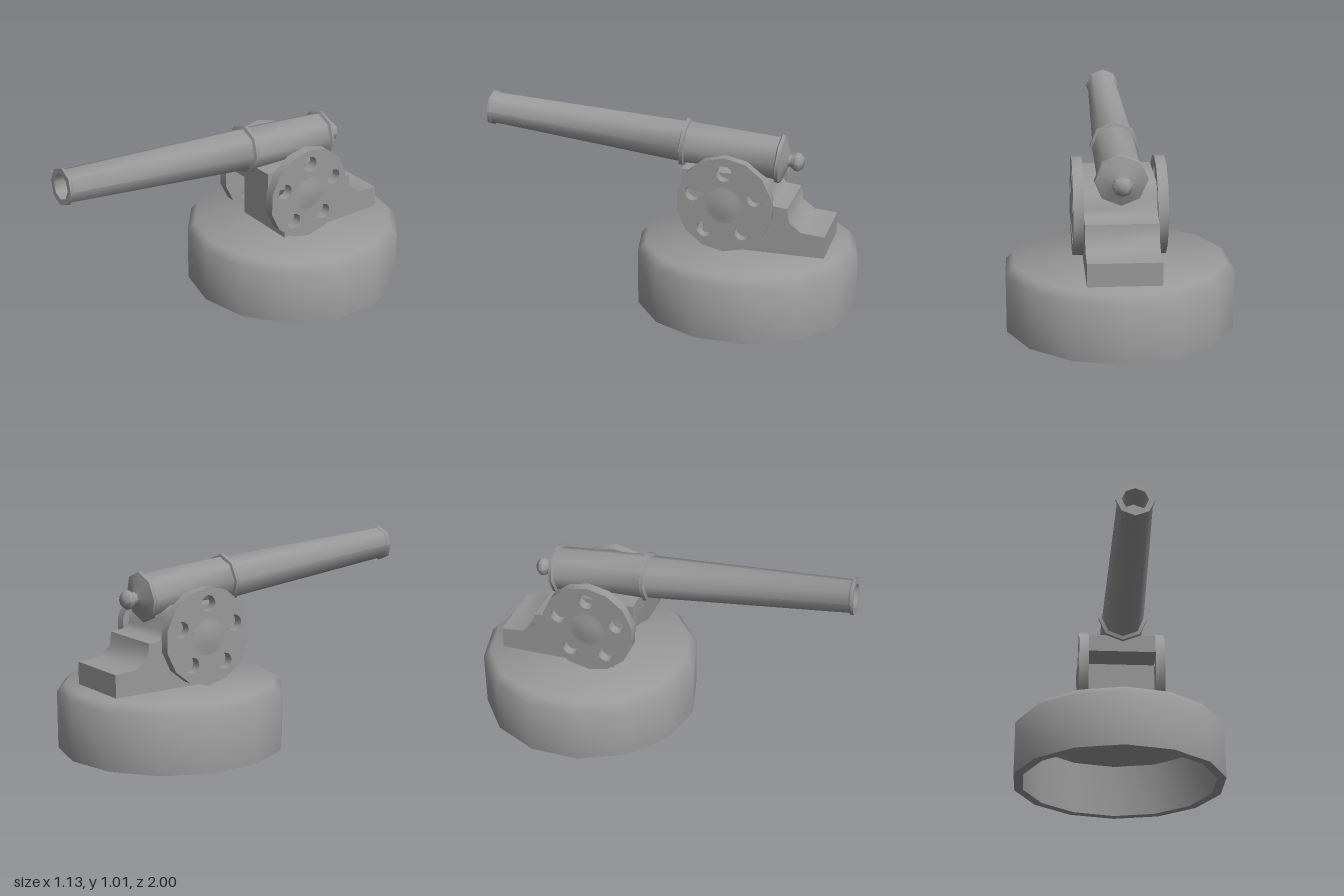
import * as THREE from 'three';
import { toCreasedNormals } from 'three/addons/utils/BufferGeometryUtils.js';

const material = new THREE.MeshStandardMaterial({ color: 0x999999 });

function part(name, geometry, crease = 0.9) {
  const mesh = new THREE.Mesh(toCreasedNormals(geometry, crease), material);
  mesh.name = name;
  return mesh;
}

const points = (list) => list.map(([x, y]) => new THREE.Vector2(x, y));
const lathe = (profile, sides) => new THREE.LatheGeometry(points(profile), sides);

// Regular polygon with one corner pointing up
function polygon(radius, sides, cx = 0, cy = 0) {
  return Array.from({ length: sides }, (_, i) => {
    const a = Math.PI / 2 + (i / sides) * Math.PI * 2;
    return new THREE.Vector2(cx + radius * Math.cos(a), cy + radius * Math.sin(a));
  });
}

function plate(outline, holes, depth) {
  const shape = new THREE.Shape(outline);
  shape.holes = holes.map((h) => new THREE.Path(h));
  return new THREE.ExtrudeGeometry(shape, { depth, bevelEnabled: false });
}

// Wheel built flat, its outer face towards +z
function createWheel() {
  const wheel = new THREE.Group();
  const lightening = Array.from({ length: 5 }, (_, i) => {
    const a = Math.PI / 2 + (i / 5) * Math.PI * 2;
    return polygon(0.042, 12, 0.168 * Math.cos(a), 0.168 * Math.sin(a));
  });
  const disc = part('wheelDisc', plate(polygon(0.25, 14), lightening, 0.052));
  const hubProfile = [[0.1, 0.0515], [0.075, 0.054], [0.045, 0.061], [0, 0.062]];
  const hub = part('wheelHub', lathe(hubProfile, 14).rotateX(Math.PI / 2));
  wheel.add(disc, hub);
  return wheel;
}

export function createModel() {
  const model = new THREE.Group();
  model.name = 'cannon';

  // Round base, hollow underneath
  const base = part('base', lathe([
    [0, 0.3], [0.53, 0.3], [0.53, 0], [0.58, 0],
    [0.58, 0.295], [0.54, 0.335], [0, 0.335],
  ], 14));
  base.position.z = -0.42;
  model.add(base);

  // Stepped carriage: profile in (z, y), extruded across x
  const carriageProfile = points([
    [-0.855, 0.33], [-0.225, 0.33], [-0.225, 0.62], [-0.11, 0.645], [-0.11, 0.74],
    [-0.48, 0.74], [-0.545, 0.69], [-0.555, 0.62], [-0.58, 0.59], [-0.66, 0.58],
    [-0.672, 0.508], [-0.735, 0.46], [-0.855, 0.45],
  ]);
  const carriageGeometry = plate(carriageProfile, [], 0.36);
  carriageGeometry.translate(0, 0, -0.18).rotateY(-Math.PI / 2);
  model.add(part('carriage', carriageGeometry));

  // Mirrored wheels
  for (const side of [1, -1]) {
    const wheel = createWheel();
    wheel.name = side > 0 ? 'leftWheel' : 'rightWheel';
    wheel.position.set(side * 0.18, 0.585, -0.345);
    wheel.rotation.y = side * Math.PI / 2;
    model.add(wheel);
  }

  // Barrel: knob, breech cone and ring, middle band, muzzle lip and bore
  const barrel = part('barrel', lathe([
    [0, -1.7], [0.03, -1.698], [0.05, -1.675], [0.05, -1.66], [0.032, -1.635], [0.034, -1.625],
    [0.07, -1.612], [0.128, -1.592], [0.132, -1.575], [0.116, -1.568],
    [0.115, -1.095], [0.13, -1.09], [0.13, -1.072], [0.112, -1.066],
    [0.086, -0.022], [0.095, -0.014], [0.095, 0],
    [0.065, 0], [0.065, -0.13], [0, -0.13],
  ], 8));
  barrel.position.set(0, 0.918, 0.99);
  barrel.rotation.x = Math.PI / 2 - 0.088;
  model.add(barrel);

  return model;
}
